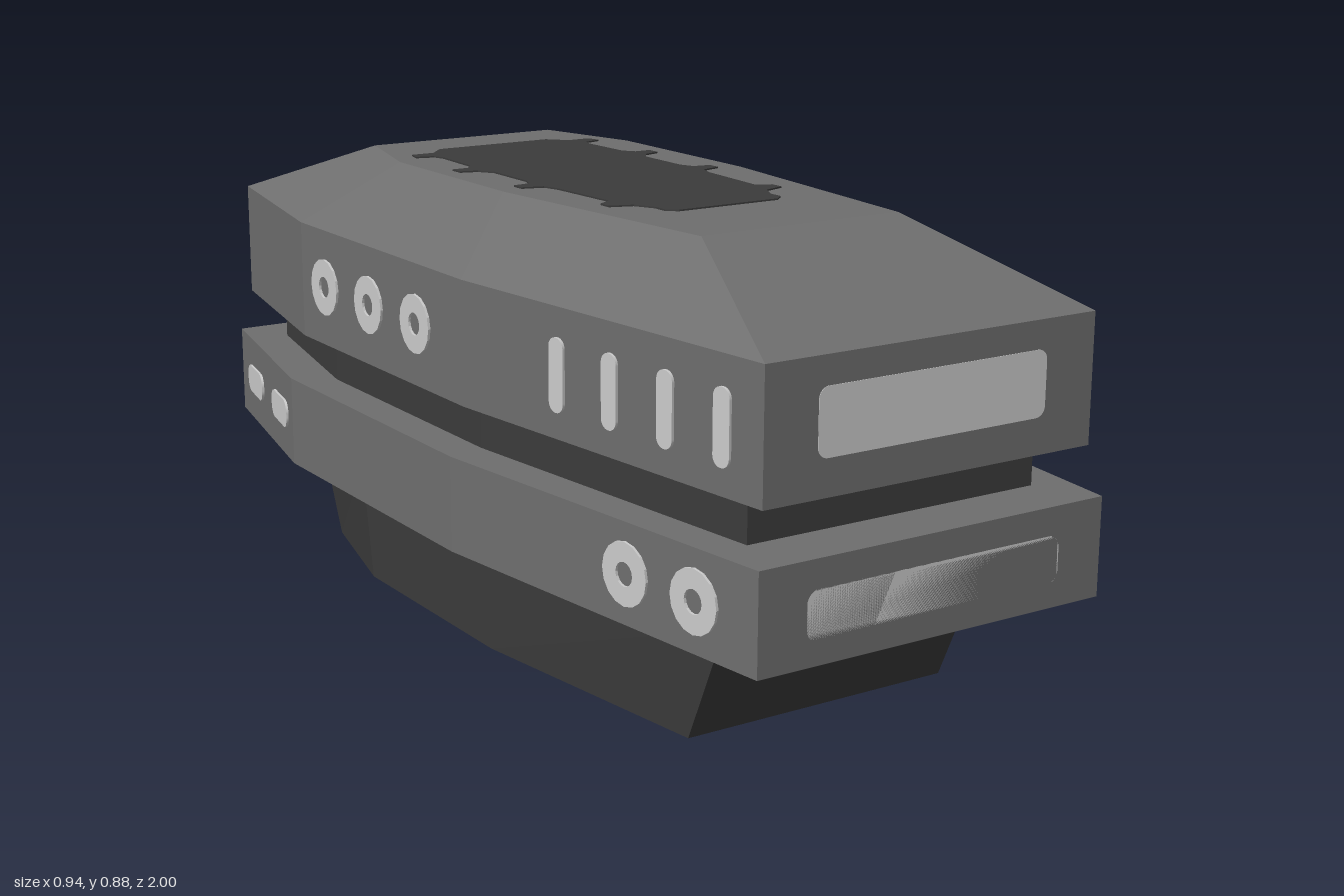
import * as THREE from 'three';

const mat = (name, color) => {
  const m = new THREE.MeshStandardMaterial({ color });
  m.name = name;
  return m;
};

// Eight-sided plan: w = middle half width, e = end half width, l = half length,
// back / front = z where the tapers begin
const upperPlan = { w: 0.44, e: 0.35, l: 0.98, back: -0.51, front: 0.17 };
const lowerPlan = { w: 0.47, e: 0.37, l: 1.0, back: -0.52, front: 0.17 };
const neckPlan = { w: 0.393, e: 0.31, l: 0.885, back: -0.46, front: 0.15 };
const roofPlan = { w: 0.275, e: 0.215, l: 0.61, back: -0.38, front: 0.04 };
const baseTopPlan = { w: 0.36, e: 0.285, l: 0.79, back: -0.42, front: 0.14 };
const baseFootPlan = { w: 0.36, e: 0.285, l: 0.685, back: -0.38, front: 0.12 };

function ring(p, y) {
  const half = [[p.e, p.l], [p.w, p.front], [p.w, p.back], [p.e, -p.l]];
  const other = half.map(([x, z]) => [-x, z]).reverse();
  return [...half, ...other].map(([x, z]) => [x, y, z]);
}

// Flat-faced solid through a list of [plan, y] sections, bottom to top
function loft(sections) {
  const rings = sections.map(([p, y]) => ring(p, y));
  const pos = [];
  const tri = (a, b, c) => pos.push(...a, ...b, ...c);
  for (let k = 0; k + 1 < rings.length; k++) {
    const lo = rings[k], hi = rings[k + 1];
    for (let i = 0; i < 8; i++) {
      const j = (i + 1) % 8;
      tri(lo[i], lo[j], hi[j]);
      tri(lo[i], hi[j], hi[i]);
    }
  }
  const bottom = rings[0], top = rings[rings.length - 1];
  for (let i = 1; i < 7; i++) {
    tri(top[0], top[i], top[i + 1]);
    tri(bottom[0], bottom[i + 1], bottom[i]);
  }
  const g = new THREE.BufferGeometry();
  g.setAttribute('position', new THREE.Float32BufferAttribute(pos, 3));
  g.computeVertexNormals();
  return g;
}

// Thin plates
const plate = (shape) => new THREE.ExtrudeGeometry(shape, { depth: 0.008, bevelEnabled: false, curveSegments: 8 })
  .translate(0, 0, -0.003);

function roundedPlate(w, h, r) {
  const s = new THREE.Shape();
  const x = w / 2, y = h / 2;
  s.absarc(x - r, y - r, r, 0, Math.PI / 2);
  s.absarc(-x + r, y - r, r, Math.PI / 2, Math.PI);
  s.absarc(-x + r, -y + r, r, Math.PI, Math.PI * 1.5);
  s.absarc(x - r, -y + r, r, Math.PI * 1.5, Math.PI * 2);
  return plate(s);
}

function ringPlate() {
  const s = new THREE.Shape().absarc(0, 0, 0.058, 0, Math.PI * 2);
  s.holes.push(new THREE.Path().absarc(0, 0, 0.022, 0, Math.PI * 2, true));
  return plate(s);
}

export function createModel() {
  const model = new THREE.Group();
  const hull = mat('hull grey', 0x6e6e6e);
  const dark = mat('dark grey', 0x3b3b3b);
  const light = mat('light grey', 0xcbcbcb);

  const add = (name, geometry, material) => {
    const m = new THREE.Mesh(geometry, material);
    m.name = name;
    model.add(m);
    return m;
  };

  // Stacked bodies
  add('base', loft([[baseFootPlan, 0], [baseTopPlan, 0.235]]), dark);
  add('lowerBand', loft([[lowerPlan, 0.232], [lowerPlan, 0.417]]), hull);
  add('neck', loft([[neckPlan, 0.41], [neckPlan, 0.515]]), dark);
  add('upperBody', loft([[upperPlan, 0.508], [upperPlan, 0.747], [roofPlan, 0.875]]), hull);

  // Place a plate on both flanks, turned to follow the plan
  const onSides = (name, geometry, p, y, z) => {
    let x = p.w, nx = 1, nz = 0;
    if (z > p.front) {
      x -= (p.w - p.e) * (z - p.front) / (p.l - p.front);
      nx = p.l - p.front;
      nz = p.w - p.e;
    } else if (z < p.back) {
      x -= (p.w - p.e) * (p.back - z) / (p.l + p.back);
      nx = p.l + p.back;
      nz = p.e - p.w;
    }
    for (const s of [1, -1]) {
      const m = add(name, geometry, light);
      m.position.set(s * x, y, z);
      m.rotation.y = Math.atan2(s * nx, nz);
    }
  };
  const disc = ringPlate();
  const slot = roundedPlate(0.04, 0.135, 0.019);
  const pill = roundedPlate(0.14, 0.06, 0.026);
  for (const z of [0.885, 0.745, 0.6, 0.455]) onSides('sideSlot', slot, upperPlan, 0.625, z);
  for (const z of [-0.01, -0.205, -0.4]) onSides('upperRing', disc, upperPlan, 0.63, z);
  for (const z of [0.85, 0.675]) onSides('lowerRing', disc, lowerPlan, 0.325, z);
  for (const z of [-0.625, -0.855]) onSides('lowerPill', pill, lowerPlan, 0.326, z);

  // Long panels on the front and back ends
  const upperPanel = roundedPlate(0.485, 0.12, 0.02);
  const lowerPanel = roundedPlate(0.545, 0.09, 0.025);
  for (const s of [1, -1]) {
    for (const [name, g, y, z] of [['upperEndPanel', upperPanel, 0.635, 0.976], ['lowerEndPanel', lowerPanel, 0.32, 0.995]]) {
      const m = add(name, g, light);
      m.position.set(0, y, s * z);
      m.rotation.y = s > 0 ? 0 : Math.PI;
    }
  }

  // Dark roof inlay with four pairs of tabs, right half as [x, z]
  const half = [
    [0.13, -0.473], [0.165, -0.435], [0.215, -0.435], [0.222, -0.405], [0.185, -0.395], [0.177, -0.37],
    [0.182, -0.25], [0.2, -0.225], [0.235, -0.225], [0.235, -0.195], [0.2, -0.185], [0.18, -0.155],
    [0.18, -0.03], [0.192, 0], [0.228, 0.005], [0.228, 0.033], [0.185, 0.045], [0.175, 0.08],
    [0.165, 0.245], [0.195, 0.262], [0.195, 0.29], [0.15, 0.305], [0.13, 0.345], [0.13, 0.375], [0.11, 0.393],
  ];
  const outline = [...half, ...half.map(([x, z]) => [-x, z]).reverse()];
  const inlay = plate(new THREE.Shape(outline.map(([x, z]) => new THREE.Vector2(x - 0.003, -z))));
  const roof = add('roofInlay', inlay, dark);
  roof.rotation.x = -Math.PI / 2;
  roof.position.y = 0.873;

  return model;
}
